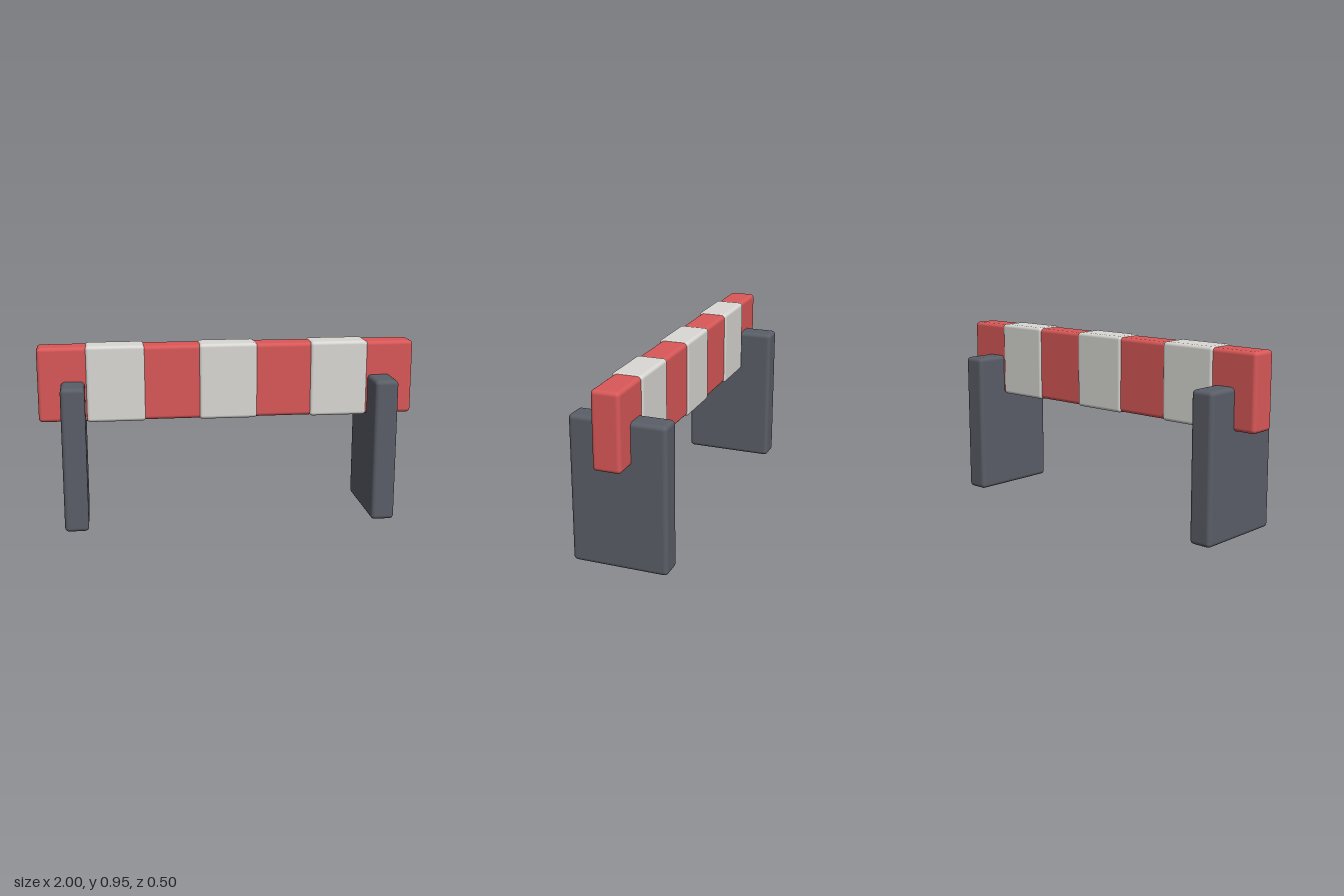
import * as THREE from 'three';
import { RoundedBoxGeometry } from 'three/addons/geometries/RoundedBoxGeometry.js';

export function createModel() {
  const model = new THREE.Group();
  model.name = 'stripedBarrier';

  const material = (name, color) => {
    const m = new THREE.MeshStandardMaterial({ color });
    m.name = name;
    return m;
  };
  const red = material('red', 0xd95858);
  const white = material('offWhite', 0xd9d8d4);
  const grey = material('darkGrey', 0x5a5e67);

  // Rounded block, centred on z = 0
  const block = (name, mat, x, y0, y1, width, depth, radius) => {
    const geometry = new RoundedBoxGeometry(width, y1 - y0, depth, 3, radius);
    const mesh = new THREE.Mesh(geometry, mat);
    mesh.name = name;
    mesh.position.set(x, (y0 + y1) / 2, 0);
    model.add(mesh);
  };

  // Horizontal beam
  block('beam', red, 0, 0.55, 0.945, 2, 0.144, 0.02);

  // White sleeves wrapped around the beam
  ['rightStripe', 'middleStripe', 'leftStripe'].forEach((name, i) => {
    block(name, white, (i - 1) * 0.595, 0.546, 0.95, 0.31, 0.162, 0.018);
  });

  // Slab legs that the beam passes through
  for (const side of [-1, 1]) {
    block(side < 0 ? 'rightLeg' : 'leftLeg', grey, side * 0.818, 0, 0.765, 0.125, 0.5, 0.022);
  }

  return model;
}
